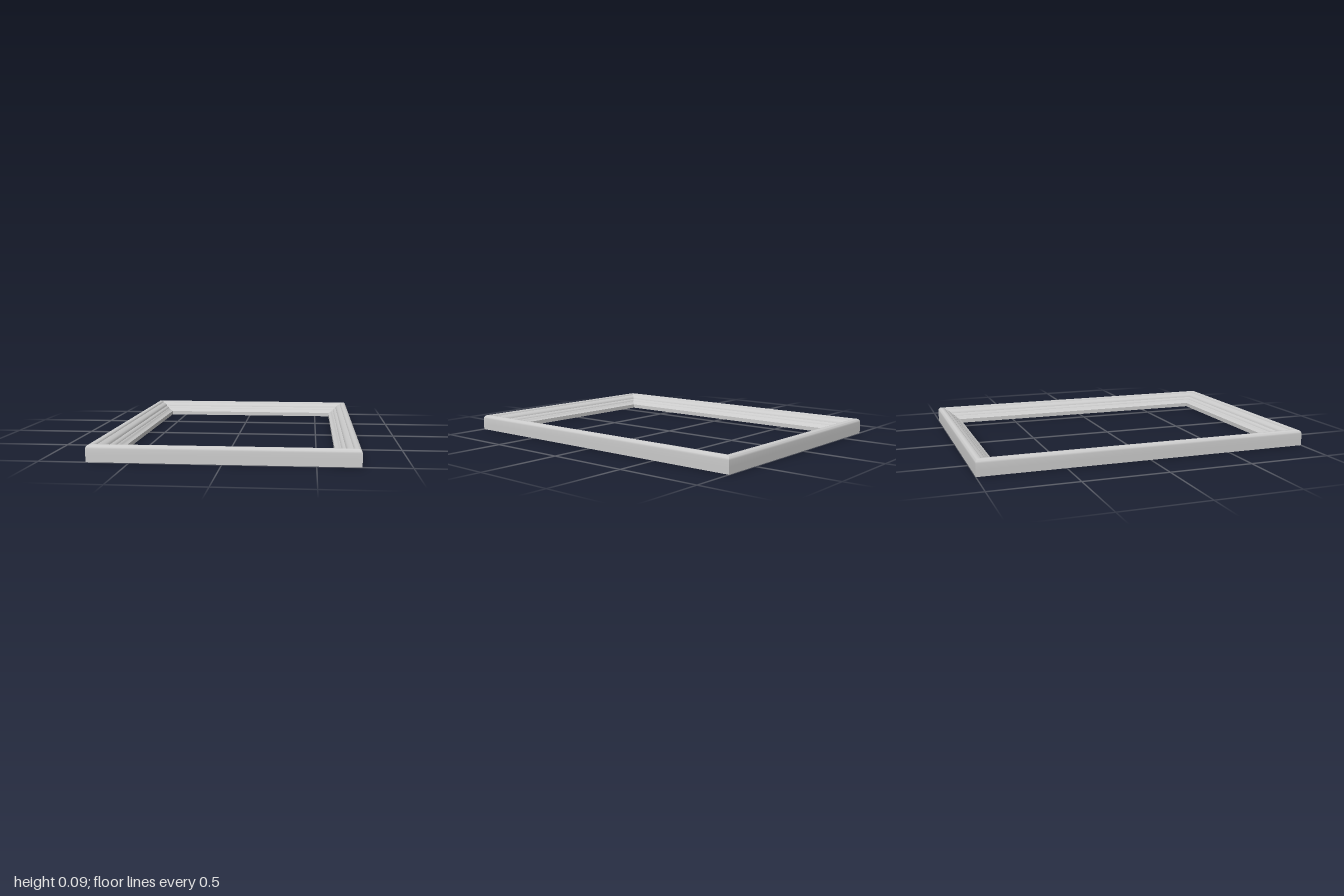
import * as THREE from 'three';
import { toCreasedNormals } from 'three/addons/utils/BufferGeometryUtils.js';

const HALF_X = 0.737, HALF_Z = 1.0;

// Moulding cross-section as [inset from outer edge, height], outer foot first
function mouldingProfile() {
  const pts = [[0, 0], [0, 0.035]];
  // rounded outer shoulder
  for (let i = 0; i <= 6; i++) {
    const a = (i / 6) * Math.PI / 2;
    pts.push([0.022 * (1 - Math.cos(a)), 0.073 + 0.022 * Math.sin(a)]);
  }
  // crest, then shallow steps falling to the thin inner lip
  pts.push(
    [0.034, 0.094], [0.040, 0.090], [0.043, 0.084],
    [0.055, 0.080], [0.068, 0.074], [0.074, 0.068], [0.077, 0.060],
    [0.088, 0.056], [0.095, 0.051], [0.098, 0.045],
    [0.106, 0.042], [0.110, 0.036], [0.122, 0.031], [0.132, 0.026],
    [0.132, 0]
  );
  return pts;
}

// One rail: the profile stretched between two mitred corners
function railGeometry(profile, from, to) {
  const pos = [], index = [];
  for (const [sx, sz] of [from, to])
    for (const [d, y] of profile) pos.push(sx * (HALF_X - d), y, sz * (HALF_Z - d));
  const n = profile.length;
  for (let i = 0; i < n; i++) {
    const j = (i + 1) % n;
    index.push(i, n + i, n + j, i, n + j, j);
  }
  const geo = new THREE.BufferGeometry();
  geo.setAttribute('position', new THREE.Float32BufferAttribute(pos, 3));
  geo.setIndex(index);
  return toCreasedNormals(geo, 0.7);
}

export function createModel() {
  const group = new THREE.Group();
  group.name = 'pictureFrame';
  const material = new THREE.MeshStandardMaterial({ color: 0xcccccc });
  const profile = mouldingProfile();
  const corners = [[-1, 1], [1, 1], [1, -1], [-1, -1]];
  const names = ['frontRail', 'leftRail', 'backRail', 'rightRail'];
  names.forEach((name, i) => {
    const rail = new THREE.Mesh(railGeometry(profile, corners[i], corners[(i + 1) % 4]), material);
    rail.name = name;
    group.add(rail);
  });
  return group;
}
